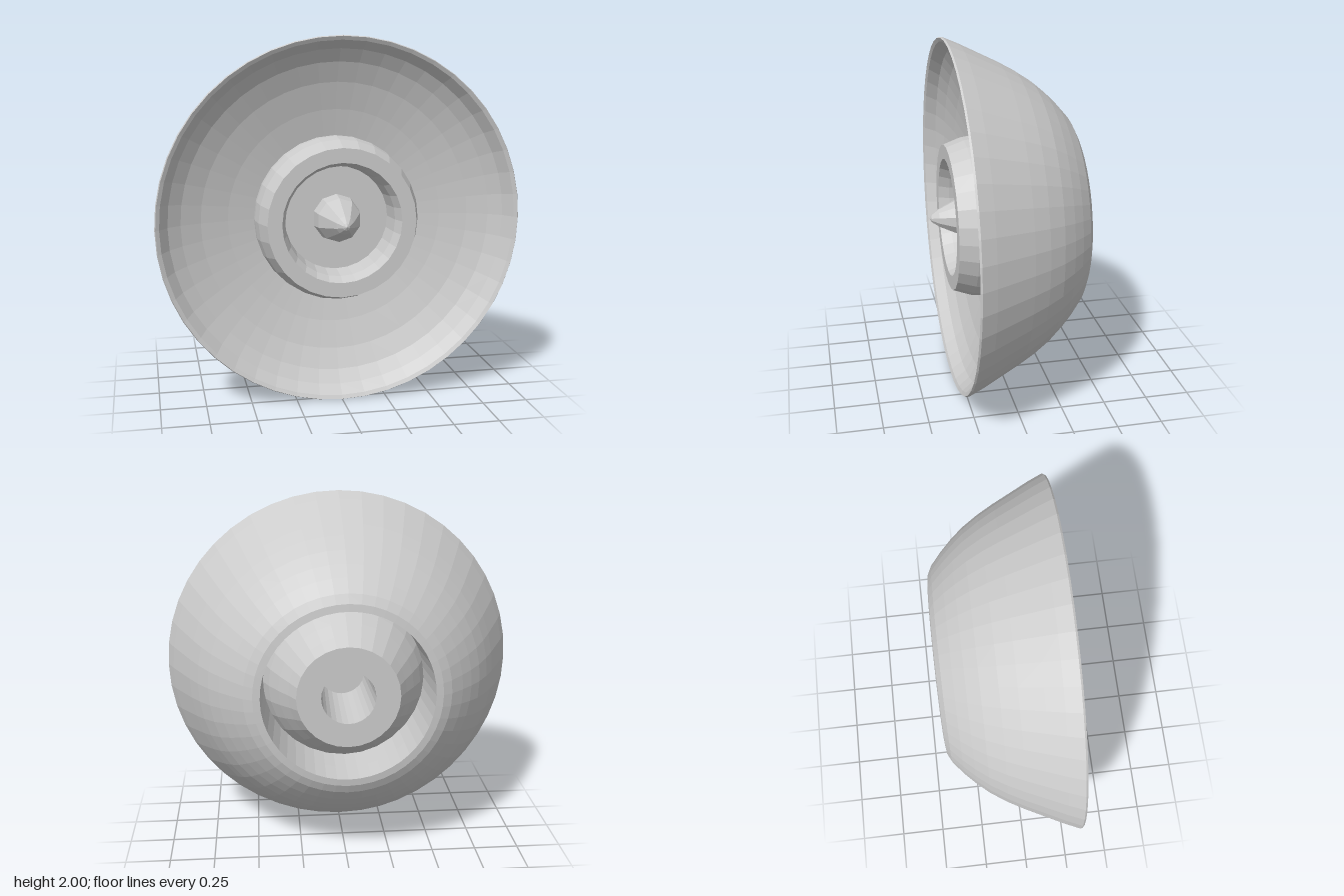
import * as THREE from 'three';

const material = new THREE.MeshStandardMaterial({ color: 0xcccccc, flatShading: true });

// Revolve a profile of [radius, z] pairs about the z axis, at height y = 1.
function turned(name, profile, sides) {
  const points = profile.map(([r, z]) => new THREE.Vector2(r, z));
  const geometry = new THREE.LatheGeometry(points, sides);
  geometry.rotateX(Math.PI / 2);
  const mesh = new THREE.Mesh(geometry, material);
  mesh.name = name;
  mesh.position.y = 1;
  return mesh;
}

export function createModel() {
  const model = new THREE.Group();
  model.name = 'dishWithHub';

  // Dish: rounded back, thin front rim, shallow front hollow, bore for the hub
  model.add(turned('dish', [
    [0.47, -0.4], [0.51, -0.395], [0.56, -0.37], [0.63, -0.31], [0.69, -0.25],
    [0.75, -0.18], [0.81, -0.09], [0.86, 0], [0.92, 0.12], [0.965, 0.21],
    [1, 0.29], [0.995, 0.3], [0.975, 0.29], [0.93, 0.23], [0.86, 0.185],
    [0.75, 0.14], [0.6, 0.1], [0.44, 0.07], [0.45, -0.08], [0.46, -0.25], [0.47, -0.4],
  ], 48));

  // Hub: flared socket at the back, open cup at the front
  model.add(turned('hub', [
    [0, 0.05], [0.13, 0.05], [0.147, -0.4], [0.28, -0.4], [0.32, -0.33],
    [0.37, -0.25], [0.42, -0.16], [0.452, -0.08], [0.455, 0.12], [0.445, 0.2],
    [0.41, 0.3], [0.33, 0.3], [0.305, 0.24], [0.29, 0.12], [0, 0.12],
  ], 28));

  // Pointed pin in the middle of the cup
  model.add(turned('centrePin', [
    [0.135, 0.11], [0.122, 0.2], [0.075, 0.3], [0.05, 0.35], [0.02, 0.39], [0, 0.4],
  ], 10));

  return model;
}
